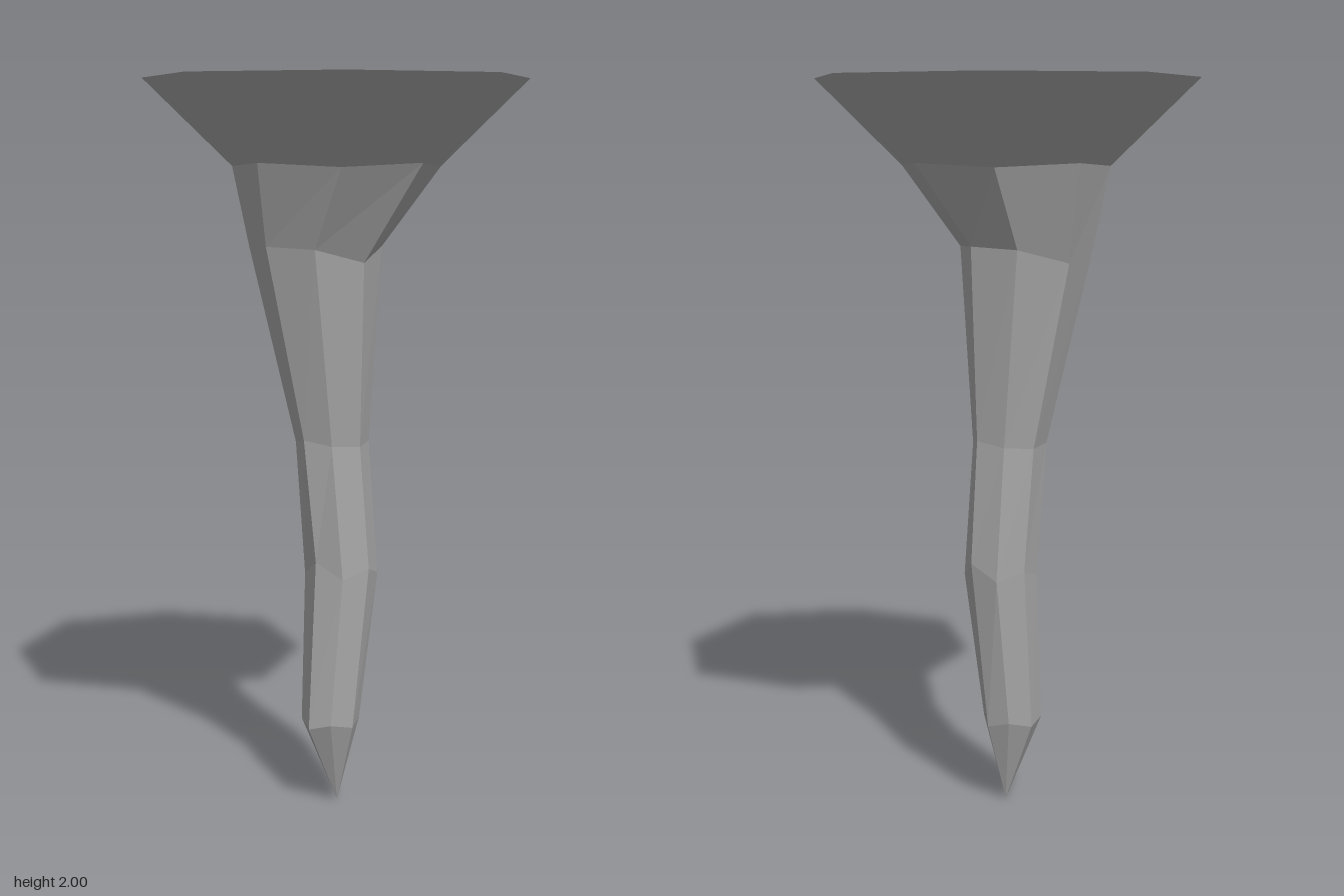
import * as THREE from 'three';

const SIDES = 8;

// Each ring: centre x, centre z, radius x, radius z, diagonal scale,
// then heights of the corners on the x axis, z axis and diagonals
const RINGS = [
  [0, 0, 0.545, 0.545, 0.945, 2, 2, 2],
  [0, 0, 0.3, 0.3, 0.93, 1.78, 1.78, 1.77],
  [-0.04, 0.04, 0.174, 0.19, 0.98, 1.52, 1.563, 1.557],
  [-0.017, 0, 0.102, 0.113, 0.93, 1.02, 1.04, 1.025],
  [0, -0.018, 0.102, 0.103, 0.98, 0.68, 0.7, 0.655],
  [-0.008, 0.018, 0.083, 0.088, 0.94, 0.23, 0.228, 0.243],
];

function ringPoints([cx, cz, rx, rz, diagonal, yx, yz, yd]) {
  const points = [];
  for (let i = 0; i < SIDES; i++) {
    const a = (i / SIDES) * Math.PI * 2;
    const isDiagonal = i % 2 === 1;
    const s = isDiagonal ? diagonal : 1;
    const y = isDiagonal ? yd : i % 4 === 0 ? yz : yx;
    points.push(cx + Math.sin(a) * rx * s, y, cz + Math.cos(a) * rz * s);
  }
  return points;
}

function meshFrom(name, positions, index, material) {
  let geometry = new THREE.BufferGeometry();
  geometry.setAttribute('position', new THREE.Float32BufferAttribute(positions, 3));
  geometry.setIndex(index);
  geometry = geometry.toNonIndexed(); // separate corners give flat facets
  geometry.computeVertexNormals();
  const mesh = new THREE.Mesh(geometry, material);
  mesh.name = name;
  return mesh;
}

export function createModel() {
  const group = new THREE.Group();
  group.name = 'stalactite';
  const stone = new THREE.MeshStandardMaterial({ color: 0xa8a8a8 });
  stone.name = 'grey stone';
  stone.flatShading = true;

  // Crooked spike: rings joined from the wide root down to the tip
  const positions = RINGS.flatMap(ringPoints);
  const tip = positions.length / 3;
  positions.push(0, 0, 0);
  const index = [];
  for (let r = 0; r < RINGS.length; r++) {
    for (let i = 0; i < SIDES; i++) {
      const j = (i + 1) % SIDES;
      const a = r * SIDES + i, b = r * SIDES + j;
      if (r === RINGS.length - 1) index.push(a, tip, b);
      else index.push(a, a + SIDES, b, b, a + SIDES, b + SIDES);
    }
  }
  group.add(meshFrom('spike', positions, index, stone));

  // Flat root face
  const cap = [];
  for (let i = 1; i < SIDES - 1; i++) cap.push(0, i, i + 1);
  group.add(meshFrom('rootFace', ringPoints(RINGS[0]), cap, stone));

  return group;
}
